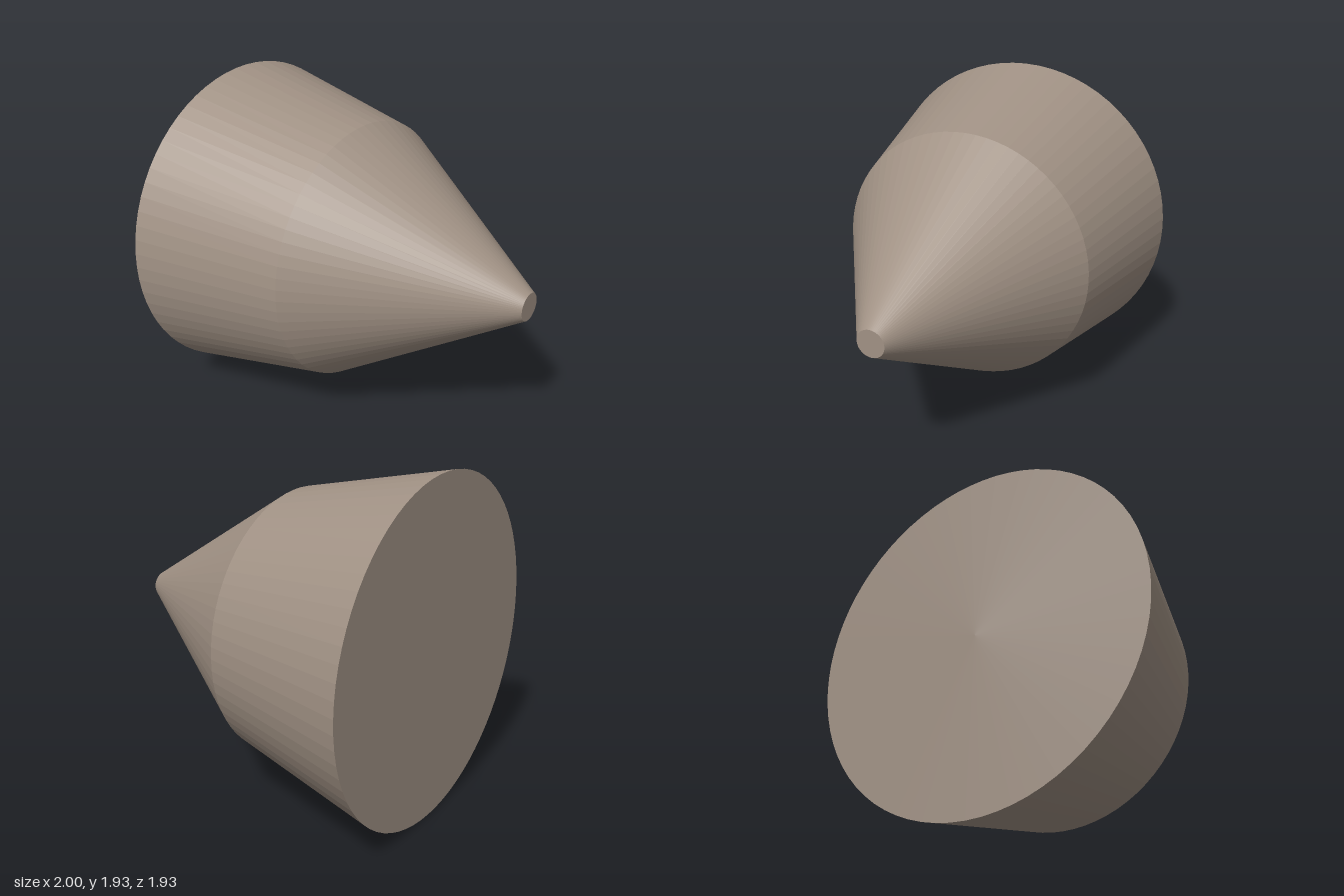
import * as THREE from 'three';

const SIDES = 72;
const CENTRE_Y = 0.967;

export function createModel() {
  const model = new THREE.Group();
  model.name = 'taperedNose';

  const taupe = new THREE.MeshStandardMaterial({ color: 0xa09184 });
  taupe.name = 'warm taupe';

  const add = (name, geometry) => {
    // Separate faces keep the facets flat
    const flat = geometry.toNonIndexed();
    flat.computeVertexNormals();
    const mesh = new THREE.Mesh(flat, taupe);
    mesh.name = name;
    mesh.position.y = CENTRE_Y;
    model.add(mesh);
  };

  // Open tapered shell along x, from x0 (radius r0) to x1 (radius r1)
  const shell = (x0, r0, x1, r1) =>
    new THREE.CylinderGeometry(r1, r0, x1 - x0, SIDES, 1, true)
      .rotateZ(-Math.PI / 2)
      .translate((x0 + x1) / 2, 0, 0);

  // Flat disc closing an end, facing +x or -x
  const disc = (x, r, facing) =>
    new THREE.CircleGeometry(r, SIDES).rotateY(facing * Math.PI / 2).translate(x, 0, 0);

  add('baseCap', disc(-1, 0.967, -1));
  add('baseTaper', shell(-1, 0.967, -0.1, 0.773));
  add('noseCone', shell(-0.1, 0.773, 1, 0.08));
  add('tipCap', disc(1, 0.08, 1));

  return model;
}
